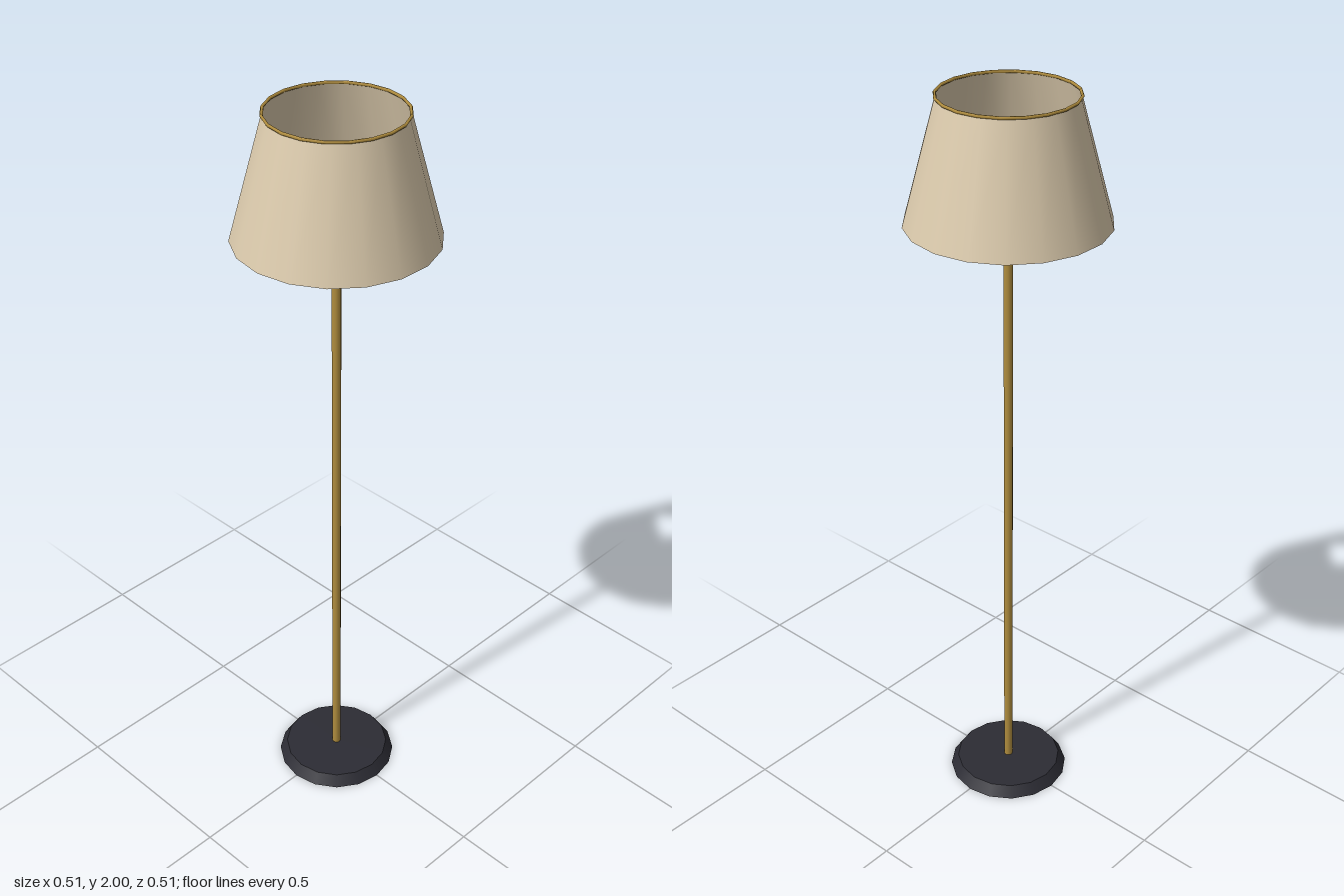
import * as THREE from 'three';

function mat(name, color, side = THREE.FrontSide) {
  const m = new THREE.MeshStandardMaterial({ color, side });
  m.name = name;
  return m;
}

export function createModel() {
  const group = new THREE.Group();
  group.name = 'floorLamp';

  const charcoal = mat('charcoal', 0x2c2c34);
  const brass = mat('brass', 0xb08d3e);
  const linen = mat('linen', 0xdccbad, THREE.DoubleSide);

  const add = (name, geometry, material, y) => {
    const mesh = new THREE.Mesh(geometry, material);
    mesh.name = name;
    mesh.position.y = y;
    group.add(mesh);
    return mesh;
  };
  // Upright cylinder or cone spanning y0 to y1
  const column = (name, rTop, rBottom, y0, y1, sides, material, open = false) =>
    add(name, new THREE.CylinderGeometry(rTop, rBottom, y1 - y0, sides, 1, open), material, (y0 + y1) / 2);

  // Stand
  column('base', 0.145, 0.165, 0, 0.03, 16, charcoal);
  column('pole', 0.012, 0.012, 0.03, 1.72, 10, brass);

  // Light fitting inside the shade
  column('socket', 0.017, 0.017, 1.69, 1.79, 10, brass);
  add('bulb', new THREE.SphereGeometry(0.045, 12, 10), linen, 1.825);

  // Open tapered shade with a thin rim at the top
  column('shade', 0.171, 0.257, 1.68, 1.997, 18, linen, true);
  const rim = add('shadeRim', new THREE.TorusGeometry(0.172, 0.004, 6, 20), brass, 1.996);
  rim.rotation.x = Math.PI / 2;

  return group;
}
